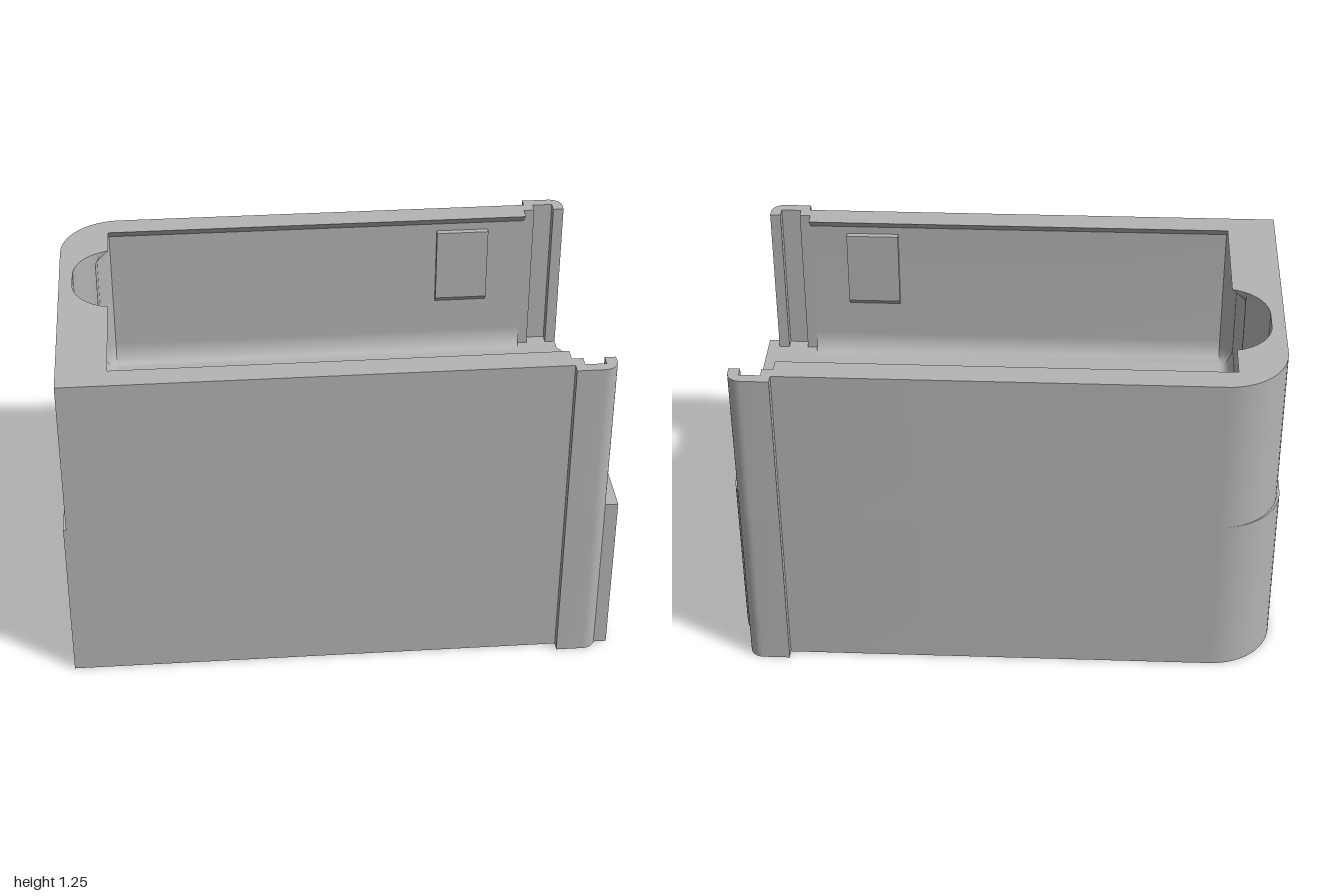
import * as THREE from 'three';
import { toCreasedNormals } from 'three/addons/utils/BufferGeometryUtils.js';

const FLOOR = 0.64, TOP = 1.245, SHELF = 0.45, LIP = 1.2, FILLET = 0.715;
const CZ = -0.145, CX = 0.77, STRAIGHT = 0.038, BORE = 0.171, SLOT = 0.09;
const END = -0.99;                       // outer face of the upper end wall
const HOUSE = { z0: -0.235, z1: 0.08, sill: 0.77, eave: 0.905, peak: 1.06, mid: -0.0775 };

const plastic = new THREE.MeshStandardMaterial({ color: 0xb4b4b4, side: THREE.DoubleSide });
plastic.name = 'grey plastic';

// Points [x, z] on an elliptical arc
function arc(cx, cz, rx, rz, a0, a1, n = 16) {
  return Array.from({ length: n + 1 }, (_, i) => {
    const a = a0 + (a1 - a0) * i / n;
    return [cx + rx * Math.cos(a), cz + rz * Math.sin(a)];
  });
}
const oval = (cx, r) => [
  ...arc(cx, CZ + STRAIGHT, r, r, 0, Math.PI, 24),
  ...arc(cx, CZ - STRAIGHT, r, r, Math.PI, 2 * Math.PI, 24)];

// Mesh from a list of four-cornered faces
function fromQuads(name, quads) {
  const pos = [];
  for (const [a, b, c, d] of quads) pos.push(...a, ...b, ...c, ...a, ...c, ...d);
  const g = new THREE.BufferGeometry();
  g.setAttribute('position', new THREE.Float32BufferAttribute(pos, 3));
  return named(name, toCreasedNormals(g, 0.5));
}
function named(name, geometry) {
  const m = new THREE.Mesh(geometry, plastic);
  m.name = name;
  return m;
}
// Faces joining two matching rings at two heights
function loft(ringA, yA, ringB, yB, closed = false) {
  const quads = [], n = ringA.length, at = ([x, z], y) => [x, y, z];
  for (let i = 0; i < (closed ? n : n - 1); i++) {
    const j = (i + 1) % n;
    quads.push([at(ringA[i], yA), at(ringB[i], yB), at(ringB[j], yB), at(ringA[j], yA)]);
  }
  return quads;
}
// Flat horizontal face with holes
function cap(name, outline, holes, y, up) {
  const s = up ? -1 : 1;
  const v = ring => ring.map(([x, z]) => new THREE.Vector2(x, s * z));
  const shape = new THREE.Shape(v(outline));
  holes.forEach(h => shape.holes.push(new THREE.Path(v(h))));
  return named(name, new THREE.ShapeGeometry(shape).rotateX(s * Math.PI / 2).translate(0, y, 0));
}

// Outer ridge at the open end, on the back side
const ridge = [...arc(0.905, -0.57, 0.05, 0.05, 0, -Math.PI / 2, 8), [0.805, -0.62], [0.805, -0.585]];
const frontRidge = ridge.map(([x, z]) => [x, -z]).reverse();

// Footprint of the base
const footprint = [
  [1, 0.585],
  ...arc(0.77, -0.355, 0.23, 0.23, 0, -0.636, 10),
  ...ridge,
  ...arc(-0.77, -0.355, 0.23, 0.23, -Math.PI / 2, -Math.PI),
  [-1, 0.585],
  ...frontRidge.slice(0, -3), [0.953, 0.585]];

// Inner end wall: flat, with the screw bore cutting into it
function endX(z, inset) {
  const flat = -0.86 + inset;
  const d = Math.max(0, Math.abs(z - CZ) - STRAIGHT);
  return d >= BORE ? flat : Math.min(flat, -CX - Math.sqrt(BORE * BORE - d * d));
}
const crossing = x => STRAIGHT + Math.sqrt(BORE * BORE - (CX + x) ** 2);
const endZs = [0.49, -0.49, HOUSE.z0, HOUSE.mid, HOUSE.z1];
for (const x of [-0.86, -0.835, -0.81]) endZs.push(CZ + crossing(x), CZ - crossing(x));
for (let i = 0; i < 36; i++) endZs.push(CZ + 0.18 * Math.cos(Math.PI * (i + 0.5) / 36));
endZs.sort((a, b) => b - a);

// Inner path of the cavity; inset narrows it at the lip and floor
function cavity(inset) {
  const side = [
    [0.955, 0.54], [0.915, 0.54], [0.915, 0.58], [0.84, 0.58], [0.84, 0.54],
    [0.8, 0.54], [0.8, 0.54 - inset], [-0.81, 0.54 - inset]];
  return [...side, ...endZs.map(z => [endX(z, inset), z]),
    ...side.map(([x, z]) => [x, -z]).reverse()];
}

const roof = z => HOUSE.peak - Math.abs(z - HOUSE.mid) *
  (HOUSE.peak - HOUSE.eave) / (HOUSE.z1 - HOUSE.mid);
const inHouse = z => z > HOUSE.z0 - 1e-6 && z < HOUSE.z1 + 1e-6;

function cavityWalls() {
  const quads = [];
  // rounded foot
  const steps = 8;
  const foot = k => {
    const a = k / steps * Math.PI / 2;
    return [cavity(0.05 * (1 - Math.sin(a))), FILLET - (FILLET - FLOOR) * Math.cos(a)];
  };
  for (let k = 0; k < steps; k++) quads.push(...loft(...foot(k), ...foot(k + 1)));
  // upright wall, leaving the cable opening free
  const ring = cavity(0);
  for (let i = 0; i < ring.length - 1; i++) {
    const [p, q] = [ring[i], ring[i + 1]];
    const face = (a0, b0, a1, b1) => quads.push(
      [[p[0], a0, p[1]], [p[0], a1, p[1]], [q[0], b1, q[1]], [q[0], b0, q[1]]]);
    if (p[0] < -0.82 && inHouse(p[1]) && inHouse(q[1])) {
      face(FILLET, FILLET, HOUSE.sill, HOUSE.sill);
      face(roof(p[1]), roof(q[1]), LIP, LIP);
    } else face(FILLET, FILLET, LIP, LIP);
  }
  // sloped underside of the lip
  quads.push(...loft(ring, LIP, cavity(0.05), TOP));
  return fromQuads('cavityWalls', quads);
}

function cableOpening() {
  const zs = endZs.filter(inHouse);
  const rim = [...zs.map(z => [z, HOUSE.sill]), ...zs.map(z => [z, roof(z)]).reverse()];
  return fromQuads('cableOpening', rim.map(([z, y], i) => {
    const [z2, y2] = rim[(i + 1) % rim.length];
    return [[END, y, z], [endX(z, 0), y, z], [endX(z2, 0), y2, z2], [END, y2, z2]];
  }));
}

function endWall() {
  const v = pts => pts.map(p => new THREE.Vector2(...p));
  const shape = new THREE.Shape(v([[-0.355, FLOOR], [0.585, FLOOR], [0.585, TOP], [-0.355, TOP]]));
  const { z0, z1, sill, eave, peak, mid } = HOUSE;
  shape.holes.push(new THREE.Path(v([[z0, sill], [z1, sill], [z1, eave], [mid, peak], [z0, eave]])));
  return named('endWall', new THREE.ShapeGeometry(shape).rotateY(-Math.PI / 2).translate(END, 0, 0));
}

// Raised catch on each side wall, sloped at its lower edge
function catchPad(side) {
  const shape = new THREE.Shape([[0.545, 0.855], [0.54, 0.855], [0.517, 0.88], [0.517, 1.17], [0.545, 1.17]]
    .map(([z, y]) => new THREE.Vector2(side * z, y)));
  const g = new THREE.ExtrudeGeometry(shape, { depth: 0.2, bevelEnabled: false });
  return named(side > 0 ? 'frontCatch' : 'backCatch', g.rotateY(-Math.PI / 2).translate(0.66, 0, 0));
}

export function createModel() {
  const model = new THREE.Group();
  model.name = 'wallBox';

  // Solid base with two screw slots under wider bores
  const base = new THREE.Group();
  base.name = 'base';
  const bores = [-CX, CX].map(x => oval(x, BORE));
  const slots = [-CX, CX].map(x => oval(x, SLOT));
  base.add(
    fromQuads('baseSides', loft(footprint, 0, footprint, FLOOR, true)),
    cap('baseBottom', footprint, slots, 0, false),
    cap('cavityFloor', footprint, bores, FLOOR, true));
  bores.forEach((bore, i) => base.add(
    fromQuads('screwBore', loft(bore, FLOOR, bore, SHELF, true)),
    fromQuads('screwSlot', loft(slots[i], SHELF, slots[i], 0, true)),
    cap('screwShelf', bore, [slots[i]], SHELF, true)));
  model.add(base);

  // Upper walls, open at one end
  const walls = new THREE.Group();
  walls.name = 'walls';
  const back = [[0.955, -0.54], ...ridge,
    ...arc(-0.77, -0.355, 0.22, 0.23, -Math.PI / 2, -Math.PI)];
  const front = [[END, 0.585], ...frontRidge, [0.955, 0.54]];
  walls.add(
    fromQuads('backWall', loft(back, FLOOR, back, TOP)),
    fromQuads('frontWall', loft(front, FLOOR, front, TOP)),
    endWall(), cableOpening(), cavityWalls(),
    cap('wallTop', [...back, ...front, ...cavity(0.05).slice(1, -1)], [], TOP, true),
    catchPad(1), catchPad(-1));
  model.add(walls);
  return model;
}
